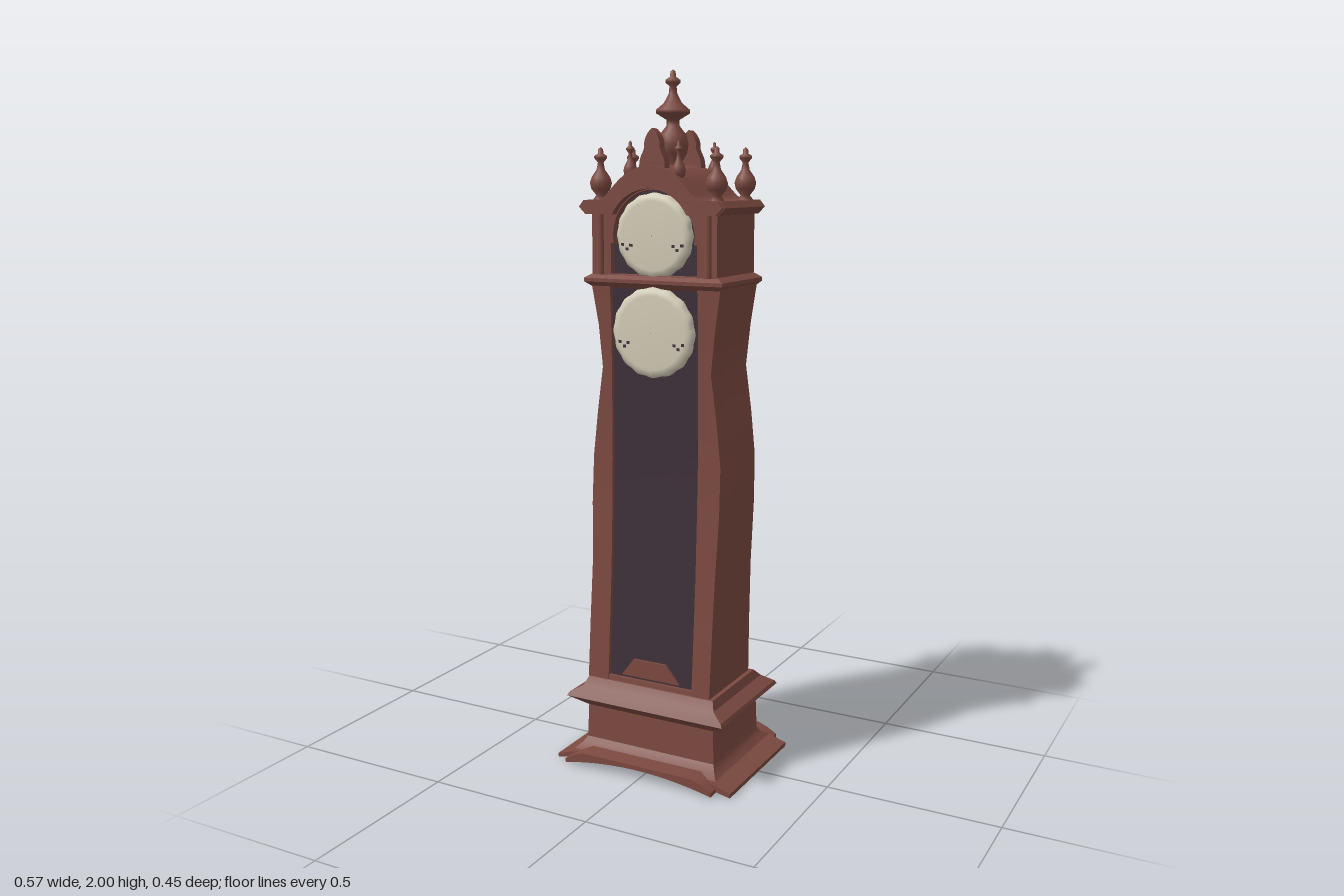
import * as THREE from 'three';
import { toCreasedNormals } from 'three/addons/utils/BufferGeometryUtils.js';

export function createModel() {
  const model = new THREE.Group();
  const mahogany = new THREE.MeshStandardMaterial({ name: 'mahogany', color: 0x7d4a41 });
  const shadowWood = new THREE.MeshStandardMaterial({ name: 'dark panel', color: 0x3f303a });
  const ivory = new THREE.MeshStandardMaterial({ name: 'ivory', color: 0xd4ceb8 });

  const add = (name, geometry, material = mahogany, x = 0, y = 0, z = 0) => {
    const mesh = new THREE.Mesh(geometry, material);
    mesh.name = name;
    mesh.position.set(x, y, z);
    model.add(mesh);
    return mesh;
  };

  // Rectangular sections [y, x0, x1, z0, z1] joined from bottom to top
  const loft = (sections) => {
    const pos = [];
    const rings = sections.map(([y, x0, x1, z0, z1]) =>
      [[x0, y, z1], [x1, y, z1], [x1, y, z0], [x0, y, z0]]);
    const quad = (a, b, c, d) => pos.push(...a, ...b, ...c, ...a, ...c, ...d);
    for (let i = 0; i < rings.length - 1; i++) {
      const lo = rings[i], up = rings[i + 1];
      for (let j = 0; j < 4; j++) {
        const k = (j + 1) % 4;
        quad(lo[j], lo[k], up[k], up[j]);
      }
    }
    const first = rings[0], last = rings[rings.length - 1];
    quad(first[3], first[2], first[1], first[0]);
    quad(...last);
    const g = new THREE.BufferGeometry();
    g.setAttribute('position', new THREE.Float32BufferAttribute(pos, 3));
    return toCreasedNormals(g, 0.5);
  };
  const tier = (rows) => loft(rows.map(([y, x, z, back = z]) => [y, -x, x, -back, z]));

  const extrude = (shape, z0, z1) => {
    const g = new THREE.ExtrudeGeometry(shape, { depth: z1 - z0, bevelEnabled: false, curveSegments: 20 });
    g.translate(0, 0, z0);
    return toCreasedNormals(g, 0.5);
  };

  // Arched foot slab, with its corners notched
  const footShape = (w, edge) => {
    const s = new THREE.Shape();
    s.moveTo(-w, edge);
    s.quadraticCurveTo(0, 0.06, w, edge);
    s.lineTo(w, edge + 0.012);
    s.lineTo(0.21, 0.035);
    s.lineTo(0.18, 0.046);
    s.lineTo(-0.18, 0.046);
    s.lineTo(-0.21, 0.035);
    s.lineTo(-w, edge + 0.012);
    return s;
  };
  add('foot', extrude(footShape(0.285, 0), -0.195, 0.195));
  add('footFrontAndBack', extrude(footShape(0.24, 0.006), -0.226, 0.226));

  // Plinth with flared moulding
  add('plinth', tier([
    [0.035, 0.235, 0.185], [0.05, 0.218, 0.16], [0.065, 0.21, 0.147], [0.165, 0.206, 0.145],
    [0.185, 0.235, 0.17], [0.2, 0.255, 0.19], [0.21, 0.25, 0.185], [0.23, 0.215, 0.16], [0.255, 0.205, 0.145, 0.13],
  ]));

  // Waist: rows of y, left edge, right edge, front depth
  const waist = [
    [0.25, -0.208, 0.192, 0.142], [0.42, -0.207, 0.193, 0.13], [0.6, -0.204, 0.196, 0.118],
    [0.78, -0.207, 0.204, 0.11], [0.92, -0.203, 0.205, 0.106], [1.05, -0.188, 0.192, 0.106],
    [1.18, -0.17, 0.174, 0.106], [1.3, -0.181, 0.187, 0.108], [1.42, -0.2, 0.206, 0.114],
  ];
  add('waistCase', loft(waist.map(([y, l, r, f]) => [y, l, r, -0.12, f - 0.018])));
  add('rightStile', loft(waist.map(([y, l, , f]) => [y, l, -0.14, f - 0.025, f])));
  add('leftStile', loft(waist.map(([y, , r, f]) => [y, 0.135, r, f - 0.025, f])));
  add('waistPanel', loft(waist.map(([y, , , f]) => [y, -0.141, 0.136, f - 0.021, f - 0.013])), shadowWood);
  add('bottomRail', loft([[0.25, -0.15, 0.15, 0.11, 0.14], [0.268, -0.15, 0.15, 0.11, 0.138]]));

  // Small raised panel at the foot of the door
  const trapezoid = new THREE.Shape([[-0.1, 0.275], [0.09, 0.275], [0.045, 0.328], [-0.06, 0.328]]
    .map(([x, y]) => new THREE.Vector2(x, y)));
  add('doorInlay', extrude(trapezoid, 0.125, 0.132));

  // Moulding between waist and hood
  add('hoodMoulding', tier([
    [1.405, 0.195, 0.108, 0.12], [1.422, 0.216, 0.128, 0.132], [1.432, 0.216, 0.128, 0.132], [1.445, 0.196, 0.112, 0.12],
  ]));

  // Hood: arched case, and a front frame with an arched opening
  const arched = (w, bottom, shoulder, r, Type = THREE.Shape) => {
    const s = new Type();
    const a = Math.asin((shoulder - 1.55) / r);
    s.moveTo(-w, bottom);
    s.lineTo(w, bottom);
    s.lineTo(w, shoulder);
    s.absarc(0, 1.55, r, a, Math.PI - a, false);
    s.lineTo(-w, shoulder);
    s.lineTo(-w, bottom);
    return s;
  };
  add('hoodCase', extrude(arched(0.195, 1.43, 1.625, 0.15), -0.12, 0.088));
  const frame = arched(0.195, 1.43, 1.625, 0.15);
  frame.holes.push(arched(0.135, 1.444, 1.53, 0.127, THREE.Path));
  add('hoodFrame', extrude(frame, 0.088, 0.115));
  add('hoodPanel', extrude(arched(0.14, 1.44, 1.53, 0.128), 0.087, 0.094), shadowWood);
  for (const s of [-1, 1]) {
    add('hoodColumn', new THREE.CylinderGeometry(0.011, 0.011, 0.175, 10), mahogany, s * 0.168, 1.53, 0.115);
  }

  // Roof: cornice that sweeps up into an arch over the upper dial
  const roof = (grow) => {
    const s = new THREE.Shape();
    const w = 0.2 + grow, a = Math.asin(0.06 / 0.13);
    s.moveTo(-w, 1.63);
    s.lineTo(-w + 0.02, 1.61);
    s.absarc(0, 1.55, 0.13, Math.PI - a, a, true);
    s.lineTo(w - 0.02, 1.61);
    s.lineTo(w, 1.63);
    s.lineTo(w - 0.015, 1.648);
    s.lineTo(0.155, 1.65);
    s.bezierCurveTo(0.12, 1.66, 0.095, 1.735, 0, 1.735 + grow / 3);
    s.bezierCurveTo(-0.095, 1.735, -0.12, 1.66, -0.155, 1.65);
    s.lineTo(-w + 0.015, 1.648);
    return s;
  };
  add('roof', extrude(roof(0.025), -0.125, 0.128));
  add('roofFrontMoulding', extrude(roof(0.022), 0.128, 0.14));

  // Dials: shallow discs with a lightly scalloped rim
  const dial = (name, y, r, z) => {
    const pts = [[0.001, 0.01], [r * 0.82, 0.01], [r * 0.92, 0.006], [r, 0], [r, -0.014]];
    const g = new THREE.LatheGeometry(pts.map(([a, b]) => new THREE.Vector2(a, b)).reverse(), 64);
    const p = g.attributes.position;
    for (let i = 0; i < p.count; i++) {
      const px = p.getX(i), pz = p.getZ(i);
      if (Math.hypot(px, pz) > r * 0.95) {
        const k = 1 + 0.015 * Math.cos(16 * Math.atan2(pz, px));
        p.setX(i, px * k);
        p.setZ(i, pz * k);
      }
    }
    g.rotateX(Math.PI / 2);
    g.computeVertexNormals();
    add(name, g, ivory, 0, y, z);
    // Dark flecks low on each side of the dial
    for (const s of [-1, 1]) for (const [dx, dy] of [[0, 0], [0.014, 0.012], [-0.012, 0.01]]) {
      add('dialMark', new THREE.BoxGeometry(0.009, 0.008, 0.002), shadowWood,
        s * (r * 0.68 + dx), y - r * 0.32 + dy, z + 0.0105);
    }
  };
  dial('upperDial', 1.553, 0.115, 0.112);
  dial('lowerDial', 1.287, 0.125, 0.119);

  // Turned finials: rows of radius and height above the base
  const finial = (name, rows, x, y, z, scale = 1) => {
    const pts = rows.map(([r, h]) => new THREE.Vector2(r * scale, h));
    add(name, new THREE.LatheGeometry(pts, 14), mahogany, x, y, z);
  };
  const urn = [[0.022, 0], [0.022, 0.012], [0.013, 0.022], [0.027, 0.04], [0.031, 0.056], [0.026, 0.072],
    [0.012, 0.092], [0.008, 0.112], [0.018, 0.124], [0.018, 0.13], [0.008, 0.136], [0.007, 0.148], [0, 0.154]];
  for (const x of [-0.18, 0.18]) for (const z of [-0.09, 0.09]) finial('cornerFinial', urn, x, 1.638, z);
  const spire = urn.map(([r, h]) => [r, h * 0.82]);
  for (const x of [-0.075, 0.075]) for (const z of [-0.107, 0.107]) finial('smallFinial', spire, x, 1.682, z, 0.62);
  finial('centreFinial', [
    [0.035, 0], [0.035, 0.015], [0.022, 0.025], [0.04, 0.055], [0.044, 0.08], [0.038, 0.105], [0.018, 0.13],
    [0.018, 0.145], [0.048, 0.163], [0.048, 0.172], [0.026, 0.19], [0.012, 0.215], [0.01, 0.235],
    [0.021, 0.245], [0.021, 0.252], [0.009, 0.26], [0.007, 0.275], [0, 0.28],
  ], 0, 1.72, 0);

  // Carved crests at the front and back of the arch
  const crest = new THREE.Shape();
  crest.moveTo(-0.038, 1.725);
  crest.lineTo(0.038, 1.725);
  crest.bezierCurveTo(0.045, 1.77, 0.02, 1.775, 0.024, 1.8);
  crest.quadraticCurveTo(0.02, 1.825, 0, 1.84);
  crest.quadraticCurveTo(-0.02, 1.825, -0.024, 1.8);
  crest.bezierCurveTo(-0.02, 1.775, -0.045, 1.77, -0.038, 1.725);
  for (const z of [-0.107, 0.107]) add('crest', extrude(crest, z - 0.014, z + 0.014));

  return model;
}
